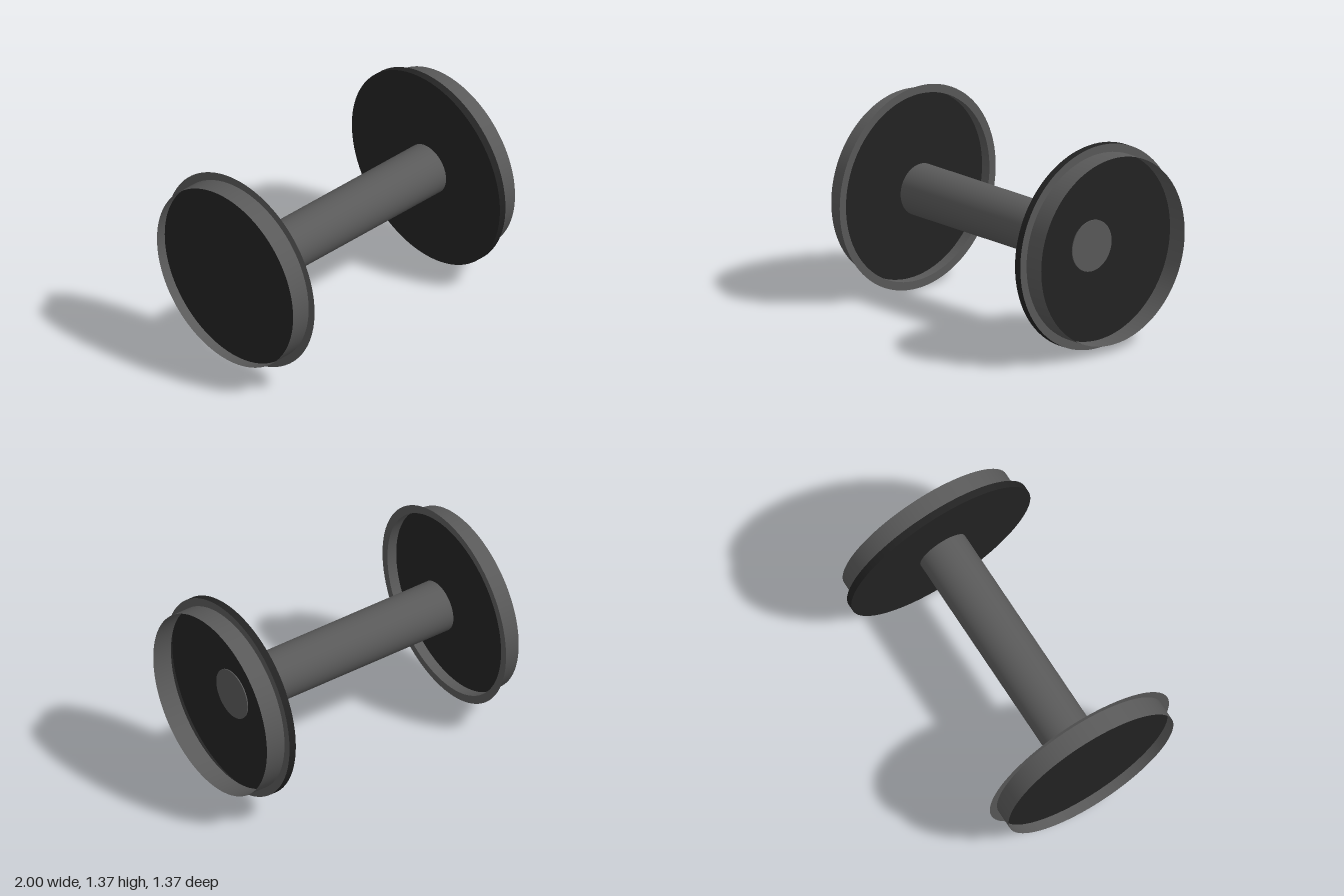
import * as THREE from 'three';

const SEG = 96;
const AXIS_Y = 0.685;
const FLANGE_R = 0.685;
const TREAD_R = 0.63;

export function createModel() {
  const steel = new THREE.MeshStandardMaterial({ color: 0x5a5a5a, side: THREE.DoubleSide });
  steel.name = 'steel grey';
  const dark = new THREE.MeshStandardMaterial({ color: 0x232323, side: THREE.DoubleSide });
  dark.name = 'dark iron';

  const model = new THREE.Group();
  model.name = 'wheelset';

  const add = (parent, name, geometry, material, x, z = 0) => {
    const mesh = new THREE.Mesh(geometry, material);
    mesh.name = name;
    mesh.position.set(x, AXIS_Y, z);
    parent.add(mesh);
  };
  // Cylinder lying along x between two positions
  const tube = (parent, name, r, x0, x1, material, open = true, z = 0) =>
    add(parent, name, new THREE.CylinderGeometry(r, r, x1 - x0, SEG, 1, open).rotateZ(-Math.PI / 2),
      material, (x0 + x1) / 2, z);
  // Flat disc and ring facing along x
  const disc = (parent, name, r, x) =>
    add(parent, name, new THREE.CircleGeometry(r, SEG).rotateY(Math.PI / 2), dark, x);
  const ring = (parent, name, x) =>
    add(parent, name, new THREE.RingGeometry(TREAD_R, FLANGE_R, SEG).rotateY(Math.PI / 2), steel, x);

  // Axle, its end just showing through the left web
  tube(model, 'axle', 0.172, -0.82, 0.817, steel, false, 0.015);

  // Left wheel: deep flange closed by a web on its inner side, open tread outside
  const left = new THREE.Group();
  left.name = 'leftWheel';
  tube(left, 'tread', TREAD_R, 0.86, 1, steel);
  tube(left, 'flangeRim', FLANGE_R, 0.81, 0.86, dark);
  ring(left, 'flangeFace', 0.86);
  disc(left, 'web', FLANGE_R, 0.81);

  // Right wheel: thin flange ring with the web set inside the tread
  const right = new THREE.Group();
  right.name = 'rightWheel';
  tube(right, 'tread', TREAD_R, -1, -0.86, steel);
  ring(right, 'flangeFace', -0.86);
  disc(right, 'web', TREAD_R, -0.93);

  model.add(left, right);
  return model;
}
